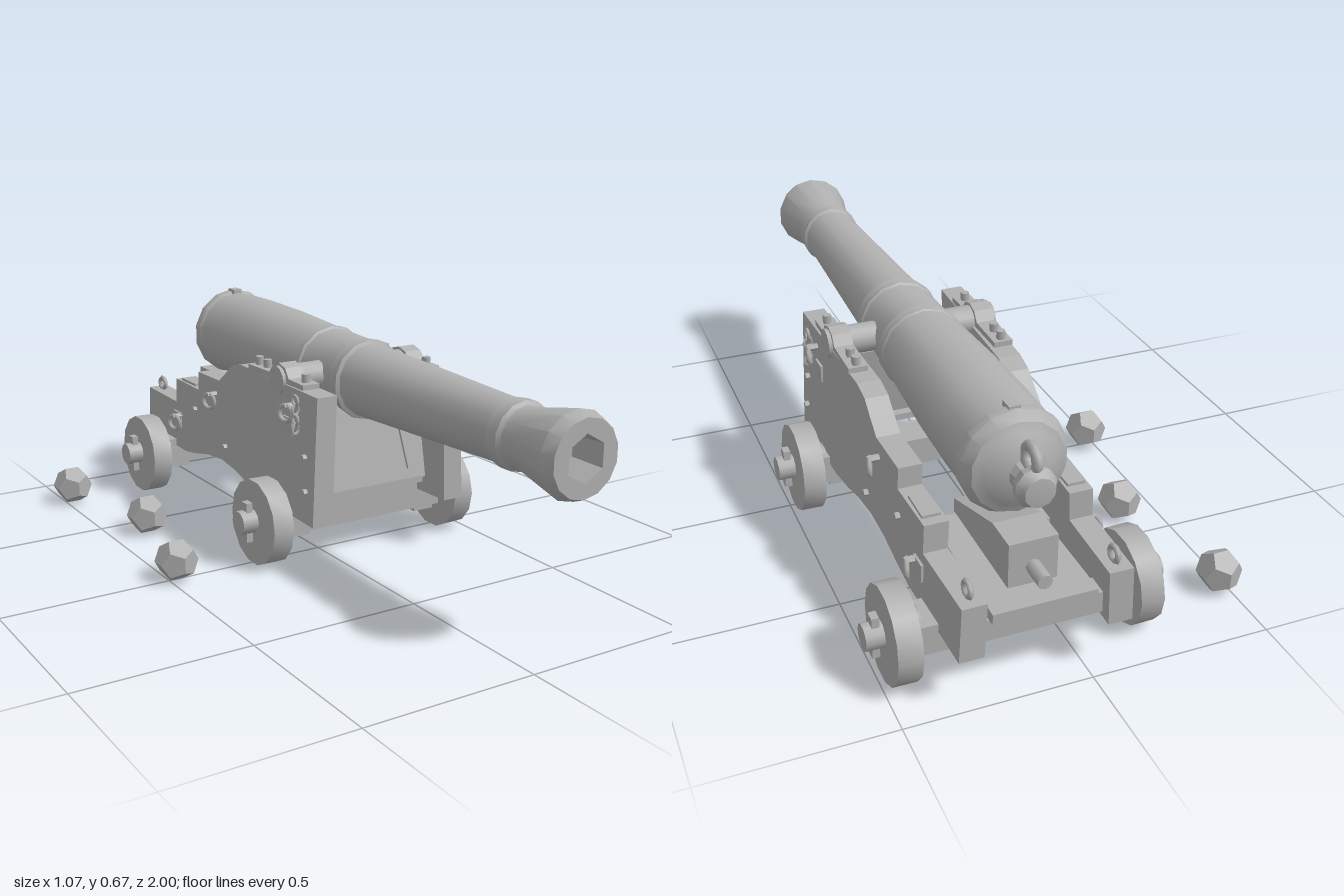
import * as THREE from 'three';
import { toCreasedNormals } from 'three/addons/utils/BufferGeometryUtils.js';

const CX = 0.128; // centre line of the gun
const AY = 0.532; // height of the barrel axis

export function createModel() {
  const model = new THREE.Group();
  const iron = new THREE.MeshStandardMaterial({ color: 0xb0b0b0 });
  iron.name = 'plain grey';

  const add = (name, geo, x = 0, y = 0, z = 0, rx = 0, ry = 0, rz = 0) => {
    const m = new THREE.Mesh(geo, iron);
    m.name = name;
    m.position.set(x, y, z);
    m.rotation.set(rx, ry, rz);
    model.add(m);
    return m;
  };
  const box = (name, w, h, d, ...at) => add(name, new THREE.BoxGeometry(w, h, d), ...at);
  // cylinder lying along x
  const rod = (name, r, len, sides, ...at) => {
    const g = new THREE.CylinderGeometry(r, r, len, sides).rotateZ(Math.PI / 2);
    return add(name, toCreasedNormals(g, 0.65), ...at);
  };
  // turned shape along z, from [radius, z] pairs
  const turned = (name, pts, sides) => {
    const g = new THREE.LatheGeometry(pts.map(p => new THREE.Vector2(...p)), sides).rotateX(Math.PI / 2);
    return add(name, toCreasedNormals(g, 0.6), CX, AY, 0);
  };
  // solid with a [z, y] outline and a width along x, centred on x = 0
  const slab = (pts, width) => {
    const shape = new THREE.Shape(pts.map(p => new THREE.Vector2(...p)));
    return new THREE.ExtrudeGeometry(shape, { depth: width, bevelEnabled: false })
      .rotateY(-Math.PI / 2).translate(width / 2, 0, 0);
  };

  // barrel with breech, reinforcing rings and flared muzzle
  turned('barrel', [
    [0, -0.84], [0.07, -0.835], [0.1, -0.815], [0.125, -0.805], [0.143, -0.775], [0.143, -0.75],
    [0.136, -0.74], [0.138, -0.6], [0.134, -0.4], [0.122, -0.16], [0.126, -0.155], [0.126, -0.125],
    [0.119, -0.12], [0.114, 0.04], [0.12, 0.045], [0.12, 0.08], [0.109, 0.085], [0.086, 0.73],
    [0.094, 0.735], [0.094, 0.775], [0.085, 0.785], [0.084, 0.81], [0.117, 0.965], [0.103, 1],
  ], 14);

  // muzzle face with six-sided bore
  const ngon = (r, n, Type) => new Type(Array.from({ length: n }, (_, i) => {
    const a = i / n * Math.PI * 2;
    return new THREE.Vector2(Math.sin(a) * r, Math.cos(a) * r);
  }));
  const face = ngon(0.103, 14, THREE.Shape);
  face.holes.push(ngon(0.063, 6, THREE.Path));
  add('muzzleFace', new THREE.ShapeGeometry(face), CX, AY, 1);
  turned('bore', [[0.063, 1], [0.055, 0.9], [0, 0.9]], 6);

  // knob and lifting ring behind the breech
  turned('breechKnob', [[0, -0.93], [0.04, -0.925], [0.055, -0.9], [0.05, -0.875], [0.036, -0.86], [0.045, -0.825]], 10);
  add('breechRing', new THREE.TorusGeometry(0.033, 0.014, 6, 10), CX, 0.595, -0.87, 0, Math.PI / 2);
  box('ventBlock', 0.03, 0.02, 0.04, CX, 0.67, -0.75);

  // trunnions
  rod('trunnions', 0.042, 0.5, 12, CX, 0.54, -0.035);

  // stepped side cheeks, splayed towards the front and the foot
  const outline = [
    [0.195, 0.155], [0.195, 0.535], [-0.28, 0.535], [-0.34, 0.52], [-0.385, 0.485], [-0.43, 0.453],
    [-0.585, 0.45], [-0.585, 0.39], [-0.76, 0.39], [-0.76, 0.31], [-0.995, 0.31], [-0.995, 0.155],
    [-0.68, 0.155], [-0.6, 0.168], [-0.5, 0.19], [-0.4, 0.2], [-0.3, 0.19], [-0.2, 0.168], [-0.11, 0.155],
  ].reverse();
  const offset = (y, z) => 0.219 + 0.0315 * z + (0.35 - y) * 0.04;

  for (const s of [-1, 1]) {
    const g = slab(outline, 0.065);
    const p = g.attributes.position;
    for (let i = 0; i < p.count; i++) p.setX(i, p.getX(i) + s * offset(p.getY(i), p.getZ(i)));
    g.computeVertexNormals();
    add('cheek', g, CX);

    // strap over the trunnion
    const strap = slab([[0.1, 0.535], [0.1, 0.55], [0.02, 0.552], [0, 0.58], [-0.035, 0.59],
      [-0.07, 0.58], [-0.09, 0.552], [-0.22, 0.55], [-0.22, 0.535]].reverse(), 0.055);
    add('trunnionStrap', strap, CX + s * 0.212);
    for (const z of [0.07, -0.15, -0.2])
      add('strapBolt', new THREE.CylinderGeometry(0.013, 0.013, 0.03, 6), CX + s * 0.212, 0.56, z);

    // eyebolts with hanging rings on the outer face
    for (const [y, z] of [[0.465, 0.06], [0.385, -0.45], [0.25, -0.72]]) {
      const x = CX + s * (offset(y, z) + 0.0325);
      rod('eyebolt', 0.01, 0.04, 6, x + s * 0.012, y + 0.02, z);
      add('hangingRing', new THREE.TorusGeometry(0.024, 0.007, 5, 10), x + s * 0.025, y, z, 0, Math.PI / 2 - s * 0.35);
    }
    // chain links beside the front ring
    for (let i = 0; i < 4; i++)
      add('chainLink', new THREE.TorusGeometry(0.015, 0.005, 4, 8),
        CX + s * 0.265, 0.51 - i * 0.028, 0.1, 0, i % 2 ? 0.4 : Math.PI / 2);
    // square plates and bolt heads
    for (const [y, z] of [[0.42, 0.035], [0.255, -0.74]])
      box('cheekPlate', 0.008, 0.05, 0.055, CX + s * (offset(y, z) + 0.034), y, z);
    for (const [y, z] of [[0.25, -0.37], [0.35, 0.14], [0.25, 0.15], [0.32, -0.6]])
      rod('boltHead', 0.01, 0.02, 6, CX + s * (offset(y, z) + 0.035), y, z);
    // ring on the rear step
    add('rearEyebolt', new THREE.TorusGeometry(0.02, 0.008, 5, 10), CX + s * 0.19, 0.33, -0.95, 0, Math.PI / 2);
    box('stepPlate', 0.05, 0.008, 0.1, CX + s * 0.195, 0.394, -0.68);

    // wheels, axle ends and linch pins
    for (const z of [0.005, -0.805]) {
      const wheel = rod('wheel', 0.129, 0.065, 14, CX + s * 0.323, 0.132, z);
      wheel.rotation.z = s * 0.02;
      rod('axleEnd', 0.036, 0.22, 10, CX + s * 0.294, 0.138, z);
      box('linchPin', 0.02, 0.12, 0.03, CX + s * 0.374, 0.138, z);
      rod('hubWasher', 0.05, 0.03, 10, CX + s * 0.275, 0.138, z);
      box('axleBracket', 0.07, 0.07, 0.1, CX + s * 0.225, 0.115, z);
    }
  }

  // axle beams
  for (const z of [0.005, -0.815]) box('axleBeam', 0.56, 0.085, 0.11, CX, 0.135, z);

  // steep front transom with two battens
  const tilt = -0.2;
  const transom = box('transom', 0.38, 0.255, 0.03, CX, 0.333, 0.07, tilt);
  for (const s of [-1, 1]) {
    const b = new THREE.Mesh(new THREE.BoxGeometry(0.036, 0.19, 0.012), iron);
    b.name = 'batten';
    b.position.set(s * 0.13, 0.003, 0.017);
    b.rotation.z = s * 0.14;
    transom.add(b);
  }
  box('frontSill', 0.36, 0.02, 0.06, CX, 0.205, 0.08);

  // rear bed, cross beams and elevating wedge
  box('bed', 0.275, 0.03, 0.42, CX, 0.245, -0.77);
  box('rearCrossBeam', 0.33, 0.06, 0.06, CX, 0.2, -0.93);
  box('middleCrossBeam', 0.33, 0.06, 0.06, CX, 0.215, -0.62);
  add('wedge', slab([[-0.9, 0.26], [-0.55, 0.26], [-0.55, 0.3], [-0.8, 0.385], [-0.9, 0.385]], 0.13), CX);
  add('wedgeHandle', new THREE.CylinderGeometry(0.02, 0.02, 0.08, 8), CX, 0.31, -0.93, Math.PI / 2);

  // loose shot on the ground
  for (const [x, z] of [[-0.475, -0.8], [-0.385, -0.4], [-0.475, 0]])
    add('cannonball', new THREE.DodecahedronGeometry(0.063), x, 0.064, z);

  return model;
}
